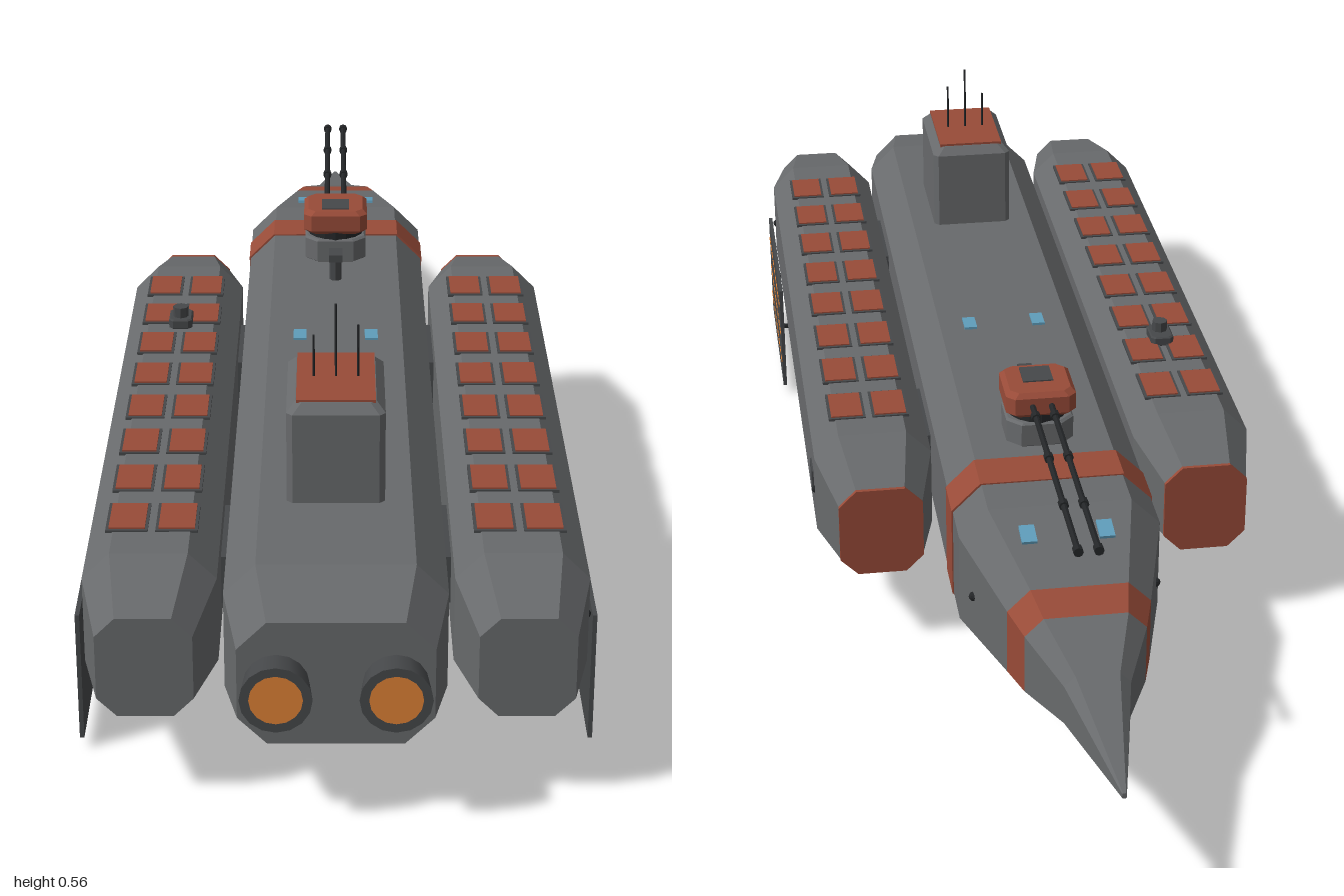
import * as THREE from 'three';

const mat = (color) => new THREE.MeshStandardMaterial({ color, flatShading: true });
const GREY = mat(0x686a6c), DARK = mat(0x46484a), BLACK = mat(0x242628);
const RUST = mat(0x984b38), ORANGE = mat(0xe08236), BLUE = mat(0x5f9dbb);

// Octagonal section: [z, halfWidth, yMin, yMax, chamfer], counter-clockwise seen from +z
function octagon([z, w, y0, y1, c], cx = 0) {
  return [[w, y0 + c], [w, y1 - c], [w - c, y1], [c - w, y1],
    [-w, y1 - c], [-w, y0 + c], [c - w, y0], [w - c, y0]].map(([x, y]) => [x + cx, y, z]);
}

// Faceted body through octagonal sections ordered from +z to -z
function loft(sections, cx = 0) {
  const rings = sections.map((s) => octagon(s, cx));
  const p = [];
  const tri = (...pts) => pts.forEach((v) => p.push(...v));
  for (let r = 0; r < rings.length - 1; r++) {
    const a = rings[r], b = rings[r + 1];
    for (let i = 0; i < 8; i++) {
      const j = (i + 1) % 8;
      tri(a[i], b[i], a[j]);
      tri(a[j], b[i], b[j]);
    }
  }
  const first = rings[0], last = rings[rings.length - 1];
  for (let i = 1; i < 7; i++) {
    tri(first[0], first[i], first[i + 1]);
    tri(last[0], last[i + 1], last[i]);
  }
  const g = new THREE.BufferGeometry();
  g.setAttribute('position', new THREE.Float32BufferAttribute(p, 3));
  g.computeVertexNormals();
  return g;
}

// Upright block with chamfered corners and a bevelled upper and lower rim, standing on y = 0
function block(w, d, h, c, rim) {
  const at = (y, inset) => [y, w / 2 - inset, inset - d / 2, d / 2 - inset, c];
  // sections use half-width; depth is passed through yMin and yMax
  return loft([at(h, rim), at(h - rim, 0), at(rim, 0), at(0, rim)]).rotateX(-Math.PI / 2);
}

function add(parent, name, geometry, material, x = 0, y = 0, z = 0) {
  const m = new THREE.Mesh(geometry, material);
  m.name = name;
  m.position.set(x, y, z);
  parent.add(m);
  return m;
}
const box = (w, h, d) => new THREE.BoxGeometry(w, h, d);
const rodY = (r, h, n = 8) => new THREE.CylinderGeometry(r, r, h, n);
const rodZ = (r, l, n = 8) => rodY(r, l, n).rotateX(Math.PI / 2);

function group(parent, name, x = 0, y = 0, z = 0) {
  const g = new THREE.Group();
  g.name = name;
  g.position.set(x, y, z);
  parent.add(g);
  return g;
}

function buildHull(ship) {
  const hull = group(ship, 'hull');
  const full = (z, grow = 0) => [z, 0.145 + grow, 0.09 - grow, 0.31 + grow, 0.042];
  add(hull, 'mainHull', loft([[0.96, 0.125, 0.113, 0.287, 0.038], full(0.85), full(-0.34)]), GREY);
  add(hull, 'frontBand', loft([full(-0.34, 0.002), full(-0.41, 0.002)]), RUST);
  const a = [-0.65, 0.1, 0.119, 0.281, 0.032], b = [-0.705, 0.084, 0.128, 0.269, 0.026];
  add(hull, 'shoulder', loft([full(-0.41), full(-0.48), a]), GREY);
  add(hull, 'noseBand', loft([a, b]), RUST);
  add(hull, 'noseCone', loft([b, [-0.8, 0.045, 0.15, 0.238, 0.015], [-1, 0.003, 0.187, 0.195, 0.001]]), GREY);

  // Twin engines
  for (const s of [-1, 1]) {
    add(hull, 'engineNozzle', new THREE.CylinderGeometry(0.04, 0.046, 0.06, 16, 1, true).rotateX(-Math.PI / 2),
      DARK, s * 0.075, 0.2, 0.97).material = new THREE.MeshStandardMaterial({ color: 0x46484a, side: THREE.DoubleSide });
    add(hull, 'engineRim', new THREE.RingGeometry(0.034, 0.046, 16), DARK, s * 0.075, 0.2, 1);
    add(hull, 'engineGlow', new THREE.CircleGeometry(0.035, 20), ORANGE, s * 0.075, 0.2, 0.999);
    // Windows and side lamps
    add(hull, 'window', box(0.02, 0.006, 0.036), BLUE, s * 0.055, 0.311, 0.1);
    add(hull, 'noseWindow', box(0.022, 0.006, 0.036), BLUE, s * 0.055, 0.301, -0.54).rotation.x = -0.17;
    add(hull, 'sideLamp', new THREE.SphereGeometry(0.007, 8, 6), BLACK, s * 0.131, 0.2, -0.53);
    // Struts to the side pods
    for (const z of [-0.045, 0.61]) add(hull, 'podStrut', box(0.04, 0.07, 0.155), DARK, s * 0.15, 0.2, z);
  }

  // Periscope and belly sensor
  add(hull, 'periscopeMast', rodY(0.01, 0.04), DARK, 0, 0.33, -0.14);
  add(hull, 'periscopeHead', box(0.022, 0.012, 0.035), DARK, 0, 0.348, -0.147);
  add(hull, 'bellySensorBase', box(0.026, 0.008, 0.045), DARK, 0, 0.087, 0.35);
  add(hull, 'bellySensor', block(0.022, 0.03, 0.013, 0.005, 0.002), RUST, 0, 0.071, 0.35);
}

function buildTower(ship) {
  const tower = group(ship, 'tower', 0, 0.305, 0.583);
  add(tower, 'towerBody', loft([[0.147, 0.054, -0.081, 0.081, 0.008], [0.134, 0.066, -0.093, 0.093, 0.008],
    [0, 0.066, -0.093, 0.093, 0.008]]).rotateX(-Math.PI / 2), GREY);
  add(tower, 'towerRoof', box(0.106, 0.005, 0.158), RUST, 0, 0.148, 0);
  [[-0.03, 0.06], [0, 0.105], [0.03, 0.075]].forEach(([x, h]) =>
    add(tower, 'antenna', rodY(0.0018, h, 6), BLACK, x, 0.15 + h / 2, 0));
}

// Twin-gun turret, built upright on y = 0
function buildTurret(ship, name, y, z) {
  const t = group(ship, name, 0, y, z);
  add(t, 'turretBase', block(0.1, 0.095, 0.04, 0.02, 0.003), GREY);
  add(t, 'turretRing', rodY(0.046, 0.014, 16), BLACK, 0, 0.045, 0);
  add(t, 'turretHead', block(0.104, 0.1, 0.04, 0.012, 0.007), RUST, 0, 0.049, 0);
  add(t, 'turretHatch', box(0.045, 0.004, 0.045), DARK, 0, 0.089, 0.012);
  for (const x of [-0.014, 0.014]) {
    add(t, 'barrel', rodZ(0.0045, 0.41), BLACK, x, 0.069, -0.25);
    for (const bz of [-0.08, -0.2, -0.33, -0.45]) add(t, 'barrelCollar', rodZ(0.007, 0.012), BLACK, x, 0.069, bz);
  }
  return t;
}

function buildPod(ship, s) {
  const pod = group(ship, s > 0 ? 'leftPod' : 'rightPod');
  const cx = s * 0.243;
  const end = (z) => [z, 0.062, 0.132, 0.273, 0.026];
  const mid = (z) => [z, 0.088, 0.105, 0.3, 0.037];
  add(pod, 'podBody', loft([end(0.925), mid(0.8), mid(-0.22), end(-0.336)], cx), GREY);
  add(pod, 'podFrontCap', loft([end(-0.336), end(-0.342)], cx), RUST);

  // Two columns of launch hatches
  for (let i = 0; i < 8; i++) {
    for (const dx of [-0.033, 0.033]) {
      const z = -0.13 + i * 0.1185;
      add(pod, 'hatchFrame', box(0.056, 0.004, 0.08), DARK, cx + dx, 0.3, z);
      add(pod, 'hatch', box(0.048, 0.006, 0.072), RUST, cx + dx, 0.301, z);
    }
  }
  // Side door and lamps
  add(pod, 'sideDoor', box(0.005, 0.032, 0.042), DARK, s * 0.331, 0.204, -0.16);
  for (const z of [0.78, -0.2]) add(pod, 'podLamp', new THREE.SphereGeometry(0.006, 8, 6), BLACK, s * 0.33, 0.2, z);

  // Hanging radiator panel with dashed strips
  add(pod, 'panel', box(0.006, 0.186, 0.314), DARK, s * 0.34, 0.112, 0.637);
  for (const z of [0.53, 0.74]) add(pod, 'panelArm', box(0.04, 0.005, 0.008), BLACK, s * 0.321, 0.112, z);
  for (const y of [0.06, 0.115, 0.17]) {
    for (let i = 0; i < 9; i++) add(pod, 'panelStrip', box(0.002, 0.004, 0.022), ORANGE, s * 0.3432, y, 0.505 + i * 0.033);
  }
}

export function createModel() {
  const ship = new THREE.Group();
  ship.name = 'ship';
  buildHull(ship);
  buildTower(ship);
  buildTurret(ship, 'topTurret', 0.309, -0.262);
  buildTurret(ship, 'bellyTurret', 0.094, -0.072).scale.y = -1;
  for (const s of [-1, 1]) buildPod(ship, s);

  // Small sensor on the right pod
  add(ship, 'podSensorBase', block(0.036, 0.05, 0.016, 0.006, 0.002), DARK, -0.243, 0.299, 0.025);
  add(ship, 'podSensorHead', rodY(0.012, 0.018), DARK, -0.243, 0.322, 0.03);
  return ship;
}
